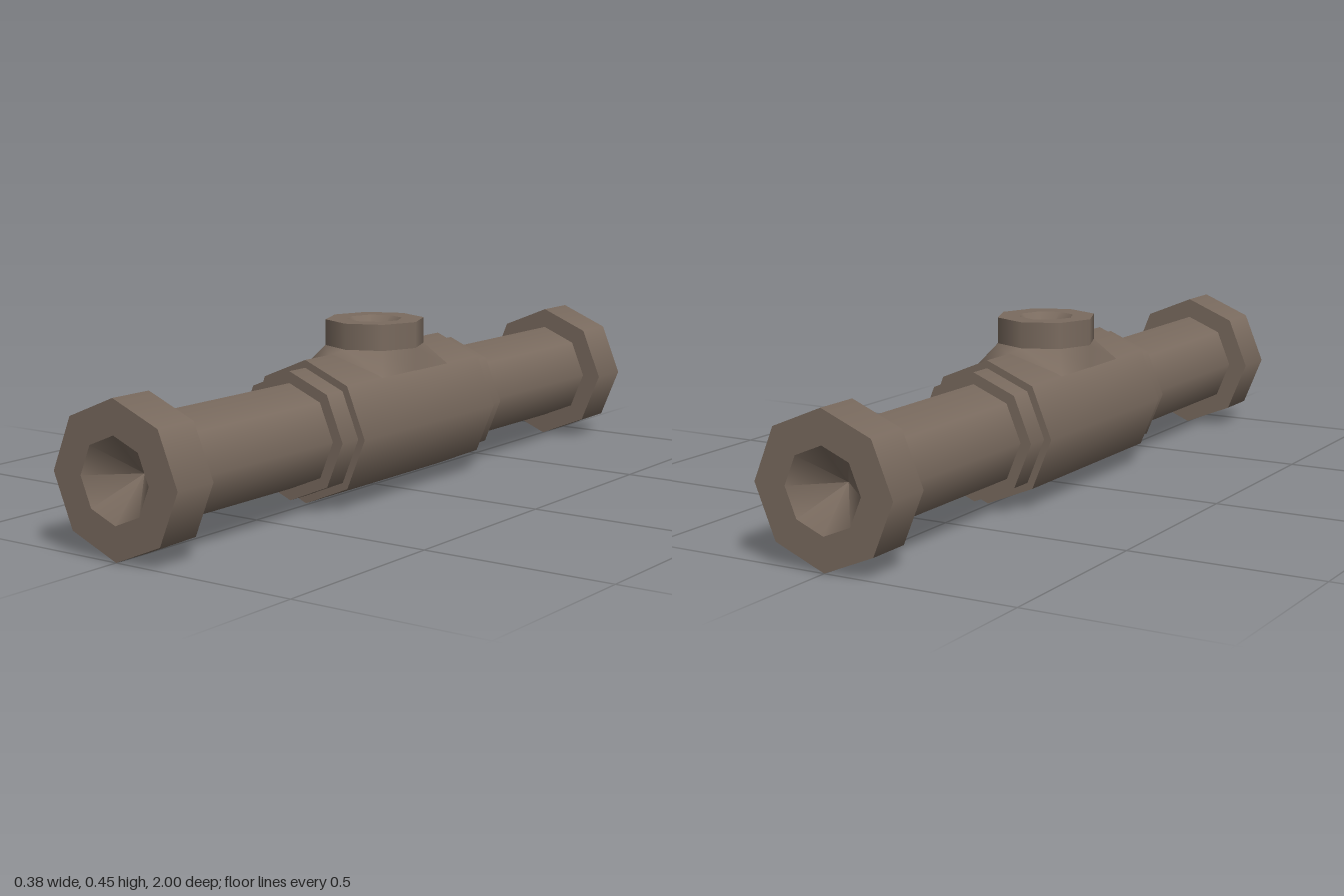
import * as THREE from 'three';
import { mergeGeometries } from 'three/addons/utils/BufferGeometryUtils.js';

const SIDES = 8;
const AXIS_Y = 0.189;

// Octagonal turned part: smooth around, sharp at every profile corner.
// The profile is a list of [radius, height], running upwards on the outside.
function turned(profile) {
  const bands = [];
  for (let i = 0; i < profile.length - 1; i++) {
    const pts = [profile[i], profile[i + 1]].map(([r, h]) => new THREE.Vector2(r, h));
    bands.push(new THREE.LatheGeometry(pts, SIDES));
  }
  return mergeGeometries(bands);
}

// Flared skirt blending the octagonal port into the upper faces of the body
function skirtGeometry(radius, topY) {
  const pos = [], index = [];
  for (let i = 0; i < SIDES; i++) {
    const a = (i / SIDES) * Math.PI * 2;
    const s = Math.sin(a), c = Math.cos(a);
    const onRidge = i % 4 === 0;
    const x = onRidge ? 0 : Math.sign(s) * 0.131;
    const z = onRidge ? c * 0.2 : i % 2 ? Math.sign(c) * 0.15 : 0;
    pos.push(x, onRidge ? 0.373 : 0.319, z);
    pos.push(s * radius, topY, c * radius);
    const lo = i * 2, next = ((i + 1) % SIDES) * 2;
    index.push(lo, next, lo + 1, next + 1, lo + 1, next);
  }
  const g = new THREE.BufferGeometry();
  g.setAttribute('position', new THREE.Float32BufferAttribute(pos, 3));
  g.setIndex(index);
  g.computeVertexNormals();
  return g;
}

export function createModel() {
  const group = new THREE.Group();
  const metal = new THREE.MeshStandardMaterial({ color: 0x7a6b5f });
  metal.name = 'brownMetal';

  const add = (parent, name, geometry) => {
    const mesh = new THREE.Mesh(geometry, metal);
    mesh.name = name;
    parent.add(mesh);
    return mesh;
  };

  // Central body, lying along z
  const body = turned([[0.135, -0.3], [0.185, -0.3], [0.185, 0.3], [0.135, 0.3]]);
  add(group, 'body', body.rotateX(Math.PI / 2)).position.y = AXIS_Y;

  // Two matching arms: collar, pipe and hollowed end flange
  for (const [name, turn] of [['frontArm', 0], ['backArm', Math.PI]]) {
    const arm = new THREE.Group();
    arm.name = name;
    arm.position.y = AXIS_Y;
    arm.rotation.y = turn;
    const parts = {
      collar: [[0.165, 0.3], [0.165, 0.365], [0.135, 0.365]],
      pipe: [[0.135, 0.365], [0.135, 0.88]],
      flange: [[0.135, 0.88], [0.189, 0.88], [0.189, 1], [0.104, 1], [0, 0.9]],
    };
    for (const [part, profile] of Object.entries(parts)) {
      add(arm, part, turned(profile).rotateX(Math.PI / 2));
    }
    group.add(arm);
  }

  // Top port with a hollowed mouth, and its flared base
  add(group, 'port', turned([[0.131, 0.379], [0.131, 0.447], [0.073, 0.447], [0, 0.38]]));
  add(group, 'portSkirt', skirtGeometry(0.131, 0.379));

  return group;
}
